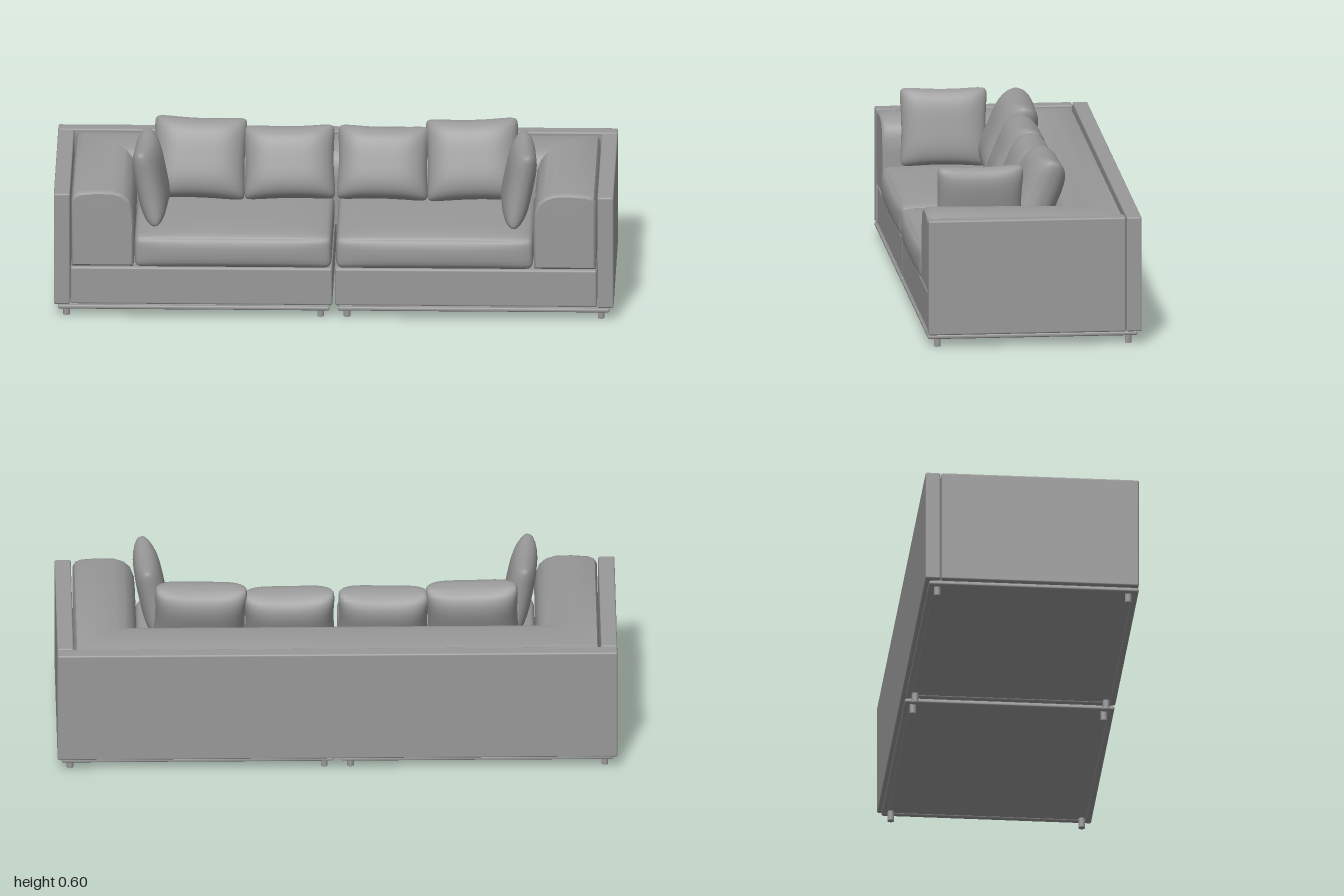
import * as THREE from 'three';
import { mergeVertices, toCreasedNormals } from 'three/addons/utils/BufferGeometryUtils.js';
import { RoundedBoxGeometry } from 'three/addons/geometries/RoundedBoxGeometry.js';

const fabric = new THREE.MeshStandardMaterial({ color: 0x999999 });
fabric.name = 'grey fabric';

function add(parent, name, geometry, x = 0, y = 0, z = 0) {
  const mesh = new THREE.Mesh(geometry, fabric);
  mesh.name = name;
  mesh.position.set(x, y, z);
  parent.add(mesh);
  return mesh;
}

// Rounded box given by its limits
function block(parent, name, [x0, x1], [y0, y1], [z0, z1], r) {
  const g = new RoundedBoxGeometry(x1 - x0, y1 - y0, z1 - z0, 3, r);
  return add(parent, name, g, (x0 + x1) / 2, (y0 + y1) / 2, (z0 + z1) / 2);
}

// Move every vertex of a unit (-1..1) box by a rule
function shapeBox(nx, ny, nz, rule) {
  const g = new THREE.BoxGeometry(2, 2, 2, nx, ny, nz);
  const p = g.attributes.position;
  for (let i = 0; i < p.count; i++) p.setXYZ(i, ...rule(p.getX(i), p.getY(i), p.getZ(i)));
  return g;
}

// Throw pillow: pinched edges, pulled-out corners, full belly
function pillowGeometry(w, h, t) {
  const g = shapeBox(18, 18, 1, (a, b, side) => {
    const u = Math.sin(a * Math.PI / 2), v = Math.sin(b * Math.PI / 2);
    const x = u * (1 - 0.06 * (1 - v * v) - 0.07 * u ** 8 * v ** 8);
    const y = v * (1 - 0.07 * (1 - u * u) - 0.07 * u ** 8 * v ** 8);
    const belly = Math.sqrt(Math.max(0, (1 - u ** 4) * (1 - v ** 4)));
    return [x * w / 2, y * h / 2, side * t / 2 * (0.07 + 0.93 * belly)];
  });
  g.computeVertexNormals();
  return g;
}

// Seat cushion: soft rounded edges, crowned top and bulging front
function seatGeometry(w, h, d, r) {
  const half = new THREE.Vector3(w / 2, h / 2, d / 2);
  const inner = half.clone().subScalar(r);
  const ease = a => Math.sin(a * Math.PI / 2);
  const g = shapeBox(20, 10, 20, (a, b, c) => {
    const u = ease(a), v = ease(b), s = ease(c);
    const p = new THREE.Vector3(u, v, s).multiply(half);
    const core = p.clone().clamp(inner.clone().negate(), inner);
    const out = p.clone().sub(core);
    if (out.lengthSq() > 0) p.copy(core).addScaledVector(out.normalize(), r);
    if (v > 0) p.y += 0.018 * v * (1 - u ** 4) * (1 - s ** 4);
    if (s > 0) p.z += 0.012 * s * (1 - u ** 4) * (1 - v * v);
    return p.toArray();
  });
  g.deleteAttribute('uv');
  g.deleteAttribute('normal');
  const soft = mergeVertices(g, 1e-5);
  soft.computeVertexNormals();
  return soft;
}

// Arms and back: one upholstered profile swept in a U with mitred corners
function surroundGeometry() {
  // u = distance inward from the outer panels, y = height
  const profile = [
    [0, 0.19], [0, 0.445], [0.008, 0.462], [0.03, 0.471], [0.09, 0.476], [0.15, 0.474],
    [0.185, 0.462], [0.208, 0.44], [0.22, 0.405], [0.224, 0.35], [0.222, 0.19],
  ];
  const X = 0.937, BACK = -0.333, mid = [0.11, 0.33];
  const armRing = (side, z, k) => profile.map(([u, y]) =>
    [side * (X - (mid[0] + (u - mid[0]) * k)), mid[1] + (y - mid[1]) * k, z]);
  const cornerRing = side => profile.map(([u, y]) =>
    [side * (X - u), y > 0.4 ? y - 0.008 : y, BACK + u]);
  const ends = [[0.375, 0], [0.373, 0.93], [0.366, 0.98], [0.352, 1]];
  const rings = [
    ...ends.map(([z, k]) => armRing(-1, z, k)),
    cornerRing(-1), cornerRing(1),
    ...ends.slice().reverse().map(([z, k]) => armRing(1, z, k)),
  ];
  const n = profile.length, index = [];
  for (let i = 0; i < rings.length - 1; i++) {
    for (let j = 0; j < n; j++) {
      const k = (j + 1) % n, a = i * n + j, b = i * n + k, c = b + n, d = a + n;
      if (i > 0) index.push(a, b, c);
      if (i < rings.length - 2) index.push(a, c, d);
      else index.push(a, b, d);
      if (i === 0) index.push(a, b, c);
    }
  }
  const g = new THREE.BufferGeometry();
  g.setAttribute('position', new THREE.Float32BufferAttribute(rings.flat(2), 3));
  g.setIndex(index);
  return toCreasedNormals(g, 0.7);
}

export function createModel() {
  const sofa = new THREE.Group();
  sofa.name = 'sofa';

  block(sofa, 'backPanel', [-1, 1], [0.048, 0.465], [-0.39, -0.336], 0.006);
  add(sofa, 'armsAndBack', surroundGeometry());

  for (const s of [-1, 1]) {
    const half = new THREE.Group();
    half.name = s > 0 ? 'leftHalf' : 'rightHalf';
    sofa.add(half);
    const span = (a, b) => (s > 0 ? [a, b] : [-b, -a]);

    // Outer panel and upholstered base
    block(half, 'sidePanel', span(0.942, 1), [0.048, 0.465], [-0.333, 0.375], 0.006);
    block(half, 'base', span(0.005, 0.94), [0.048, 0.188], [-0.333, 0.37], 0.008);

    // Plinth frame with a recessed underside
    const py = [0.031, 0.046];
    for (const z of [-0.365, 0.365]) {
      block(half, 'plinthRail', span(0.015, 0.985), py, [z - 0.011, z + 0.011], 0.006);
    }
    for (const x of [0.026, 0.974]) {
      block(half, 'plinthRail', span(x - 0.011, x + 0.011), py, [-0.37, 0.37], 0.006);
    }
    block(half, 'underside', span(0.02, 0.98), [0.036, 0.05], [-0.37, 0.37], 0.002);

    // Legs
    for (const x of [0.047, 0.955]) {
      for (const z of [-0.345, 0.34]) {
        add(half, 'leg', new THREE.CylinderGeometry(0.012, 0.012, 0.038, 16), s * x, 0.019, z);
      }
    }

    // Seat cushion
    add(half, 'seatCushion', seatGeometry(0.704, 0.118, 0.5, 0.025), s * 0.36, 0.247, 0.127);

    // Pillows leaning on the back
    const outer = add(half, 'outerBackPillow', pillowGeometry(0.34, 0.305, 0.155), s * 0.487, 0.457, -0.056);
    outer.rotation.set(-0.4, 0, s * 0.03);
    const innerPillow = add(half, 'innerBackPillow', pillowGeometry(0.335, 0.275, 0.155), s * 0.167, 0.444, -0.052);
    innerPillow.rotation.set(-0.4, 0, s * -0.02);

    // Pillow leaning on the arm
    const side = add(half, 'armPillow', pillowGeometry(0.32, 0.29, 0.1), s * 0.657, 0.457, 0.16);
    side.rotation.order = 'YXZ';
    side.rotation.set(-0.2, -s * (Math.PI / 2 - 0.06), 0);
  }
  return sofa;
}
